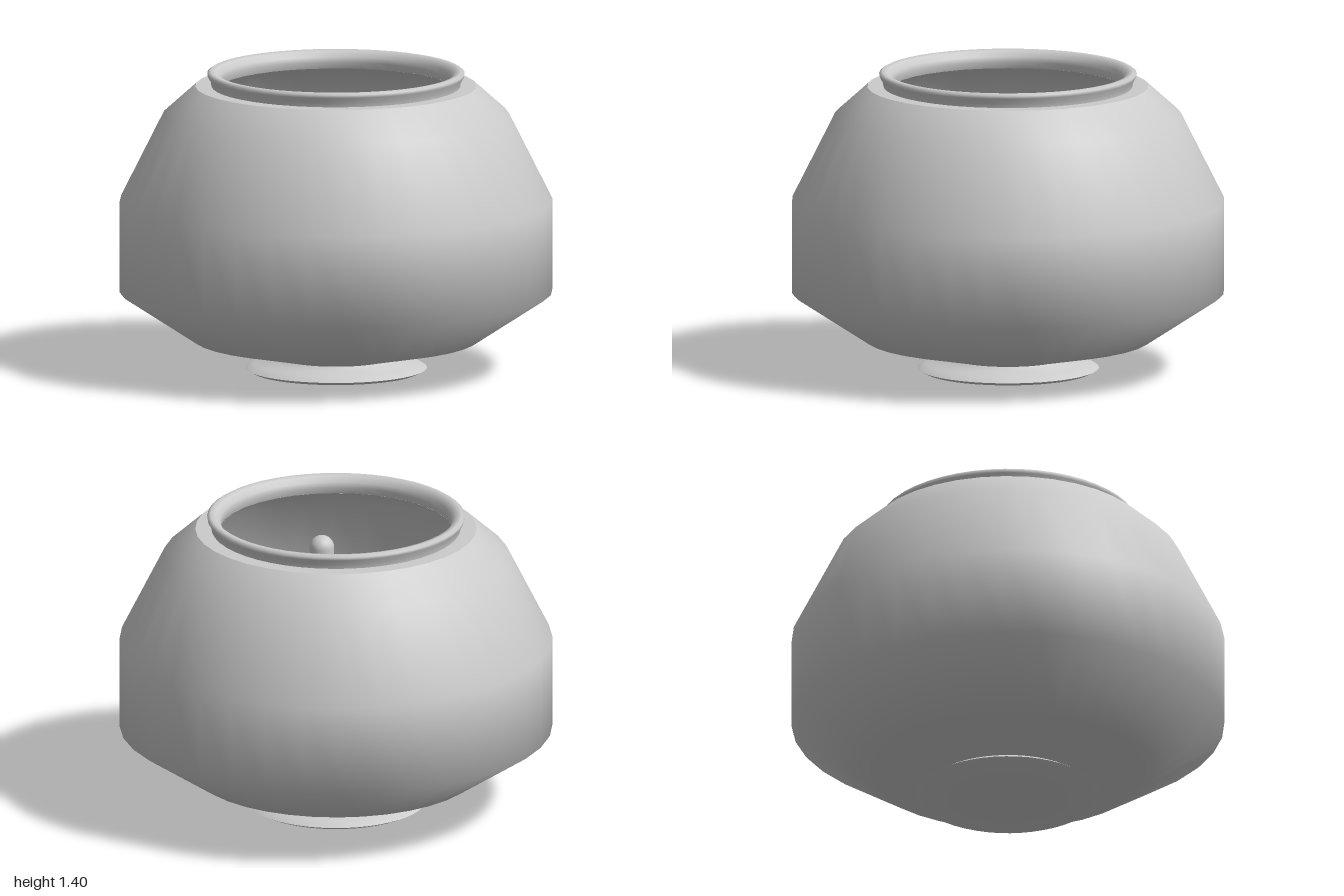
import * as THREE from 'three';
import { toCreasedNormals } from 'three/addons/utils/BufferGeometryUtils.js';

const smooth = new THREE.MeshStandardMaterial({ color: 0xcccccc, side: THREE.DoubleSide });
const faceted = new THREE.MeshStandardMaterial({ color: 0xcccccc, side: THREE.DoubleSide, flatShading: true });

function add(parent, name, geometry, material, x = 0, y = 0, z = 0) {
  const mesh = new THREE.Mesh(geometry, material);
  mesh.name = name;
  mesh.position.set(x, y, z);
  parent.add(mesh);
  return mesh;
}

function lathe(profile, segments) {
  return new THREE.LatheGeometry(profile.map(([r, y]) => new THREE.Vector2(r, y)), segments);
}

// Thin slab cut from an outline, centred on its thickness
function slab(outline, depth) {
  const shape = new THREE.Shape(outline.map(([x, y]) => new THREE.Vector2(x, y)));
  const g = new THREE.ExtrudeGeometry(shape, { depth, bevelEnabled: false });
  return g.translate(0, 0, -depth / 2);
}

// Pleated fan in the xz plane, spreading towards -z
function fan(spread, inner, outer, pleats) {
  const pos = [], index = [];
  for (let i = 0; i <= pleats; i++) {
    const a = (i / pleats - 0.5) * spread;
    const up = i % 2 ? 0.05 : -0.03;
    const tip = outer * (i % 2 ? 0.82 : 1);
    [inner, (inner + tip) / 2, tip].forEach((r, k) =>
      pos.push(Math.sin(a) * r, up * k * 0.6, -Math.cos(a) * r));
    if (i < pleats) for (let k = 0; k < 2; k++) {
      const b = i * 3 + k;
      index.push(b, b + 3, b + 1, b + 1, b + 3, b + 4);
    }
  }
  const g = new THREE.BufferGeometry();
  g.setAttribute('position', new THREE.Float32BufferAttribute(pos, 3));
  g.setIndex(index);
  g.computeVertexNormals();
  return g;
}

function createBowl() {
  const bowl = new THREE.Group();
  bowl.name = 'bowl';
  add(bowl, 'foot', toCreasedNormals(lathe(
    [[0, 0], [0.39, 0], [0.42, 0.015], [0.38, 0.04], [0.29, 0.05], [0.27, 0.065], [0.31, 0.075]], 48), 0.7), smooth);
  add(bowl, 'outerWall', lathe(
    [[0.28, 0.068], [0.66, 0.15], [1, 0.375], [1, 0.8], [0.8, 1.2], [0.65, 1.335]], 36), smooth);
  add(bowl, 'shoulder', lathe([[0.65, 1.335], [0.57, 1.335]], 36), smooth);
  add(bowl, 'innerWall', lathe(
    [[0.54, 1.32], [0.64, 1.3], [0.77, 1.19], [0.97, 0.79], [0.97, 0.39], [0.64, 0.18], [0.28, 0.1], [0, 0.09]], 36), smooth);
  // Flared lip with a rounded inner edge
  add(bowl, 'rim', lathe(
    [[0.575, 1.33], [0.578, 1.355], [0.592, 1.38], [0.595, 1.395], [0.58, 1.405],
      [0.555, 1.4], [0.535, 1.375], [0.53, 1.35], [0.54, 1.32]], 48), smooth);
  return bowl;
}

function createFish() {
  const fish = new THREE.Group();
  fish.name = 'fish';

  // Rounded body along z, with a blunt snout at +z
  const body = lathe([[0, -0.25], [0.07, -0.24], [0.19, -0.13], [0.3, -0.02], [0.32, 0.08],
    [0.27, 0.2], [0.22, 0.28], [0.24, 0.38], [0.19, 0.44], [0, 0.46]], 11);
  body.rotateX(Math.PI / 2);
  add(fish, 'body', body, faceted);

  // Raised crown on the back
  const crown = new THREE.SphereGeometry(1, 9, 6);
  crown.rotateX(Math.PI / 2).scale(0.17, 0.17, 0.25);
  add(fish, 'crown', crown, faceted, 0, 0.22, 0.06);

  const lips = new THREE.TorusGeometry(0.1, 0.035, 5, 8);
  lips.scale(1.5, 0.6, 1);
  add(fish, 'lips', lips, faceted, 0, -0.04, 0.44);

  // Sail on the back
  const sail = slab([[0.2, 0.22], [0.08, 0.4], [-0.06, 0.42], [-0.18, 0.3], [-0.2, 0.1]], 0.035);
  sail.rotateY(-Math.PI / 2);
  add(fish, 'dorsalFin', sail, faceted).rotation.y = 0.12;

  // Tail root and pleated tail lobes
  const root = new THREE.CylinderGeometry(0.12, 0.06, 0.14, 8);
  root.rotateX(-Math.PI / 2);
  add(fish, 'tailRoot', root, faceted, 0, 0.05, -0.24);
  for (const side of [-1, 1]) {
    const lobe = add(fish, side > 0 ? 'leftTailLobe' : 'rightTailLobe',
      fan(0.9, 0.05, 0.25, 6), faceted, side * 0.03, 0.08, -0.2);
    lobe.rotation.set(0.15, -side * 0.85, side * 0.25);
  }
  add(fish, 'middleTailLobe', fan(1.1, 0.05, 0.2, 6), faceted, 0, 0.08, -0.22).rotation.x = 0.5;

  // Paired side fins
  for (const side of [-1, 1]) {
    const label = side > 0 ? 'left' : 'right';
    const pectoral = slab([[0.22, -0.17], [0.3, -0.09], [0.41, 0.02], [0.41, -0.06], [0.33, -0.17]]
      .map(([x, y]) => [x * side, y]), 0.04);
    pectoral.rotateX(-Math.PI / 2);
    add(fish, label + 'PectoralFin', pectoral, faceted);
    const ventral = slab([[0.1, -0.2], [0.22, -0.16], [0.27, -0.38], [0.17, -0.42]]
      .map(([x, y]) => [x * side, y]), 0.04);
    add(fish, label + 'VentralFin', ventral, faceted, 0, 0, 0.1);
  }

  // Raised eye on the left, low eye on the right
  add(fish, 'leftEyeStalk', new THREE.CapsuleGeometry(0.057, 0.36, 8, 20), smooth, 0.29, 0.31, 0.34);
  add(fish, 'leftEyeRoot', new THREE.SphereGeometry(0.12, 8, 6), faceted, 0.2, 0.06, 0.32);
  add(fish, 'rightEye', new THREE.SphereGeometry(0.06, 20, 14), smooth, -0.25, 0.05, 0.33);

  fish.position.set(-0.17, 0.63, 0);
  return fish;
}

export function createModel() {
  const model = new THREE.Group();
  model.name = 'fishBowl';
  model.add(createBowl(), createFish());
  return model;
}
